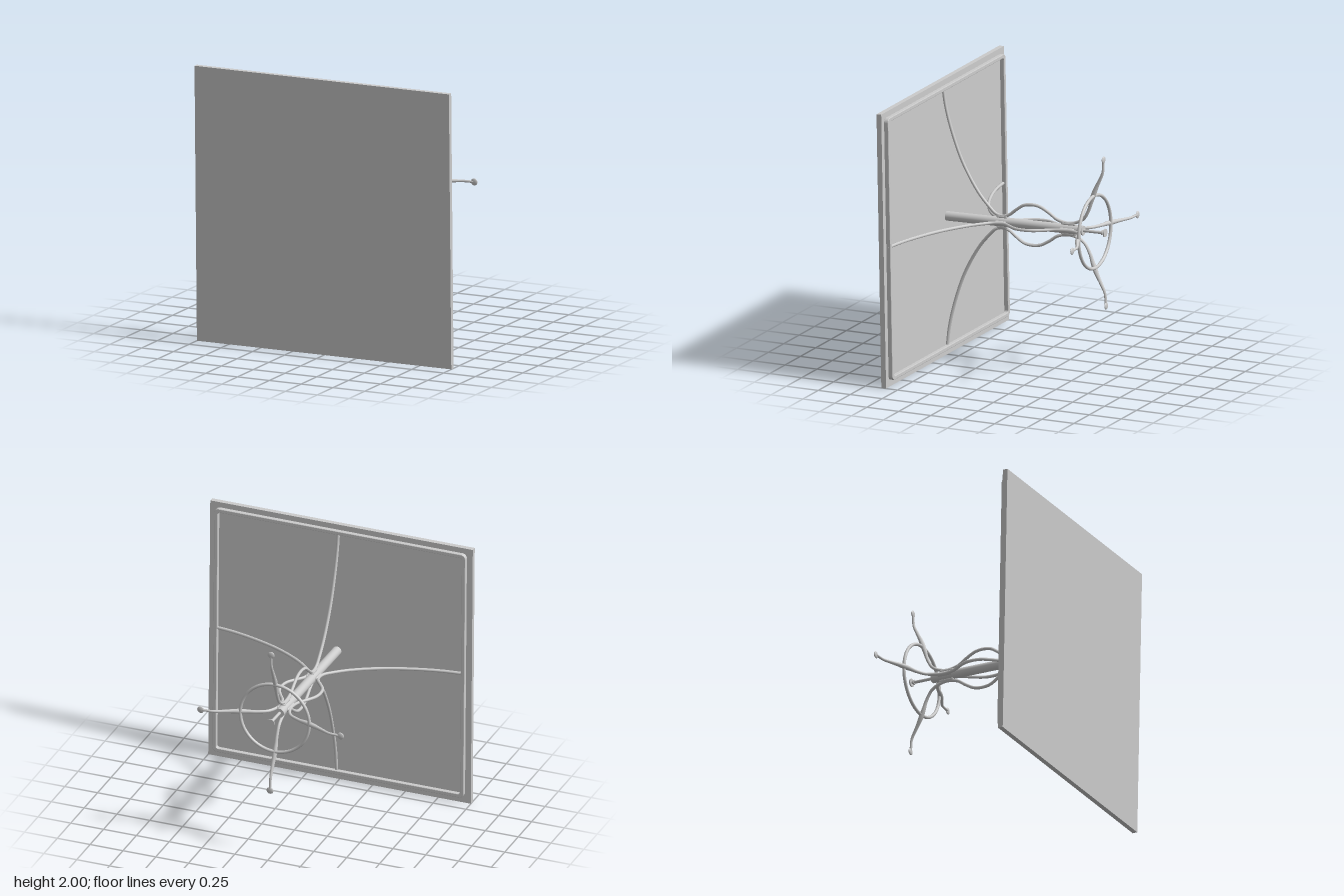
import * as THREE from 'three';

const mat = new THREE.MeshStandardMaterial({ color: 0xcccccc });

// Leg outline as [distance from the column axis, z]
const LEG = [
  [0.94, 0.598], [0.8, 0.578], [0.62, 0.532], [0.4, 0.45], [0.2, 0.335],
  [0.1, 0.25], [0.055, 0.2], [0.043, 0.15], [0.055, 0.1], [0.1, 0.04],
  [0.138, -0.02], [0.148, -0.09], [0.138, -0.15], [0.1, -0.22], [0.06, -0.28],
  [0.043, -0.35], [0.048, -0.41], [0.085, -0.485], [0.16, -0.53], [0.23, -0.553],
  [0.31, -0.583], [0.37, -0.612], [0.44, -0.643], [0.5, -0.648], [0.53, -0.65],
];

function add(parent, name, geometry, x = 0, y = 0, z = 0) {
  const mesh = new THREE.Mesh(geometry, mat);
  mesh.name = name;
  mesh.position.set(x, y, z);
  parent.add(mesh);
  return mesh;
}

// Cylinder lying along z between two depths
function rod(parent, name, r, z0, z1, x = 0) {
  const g = new THREE.CylinderGeometry(r, r, Math.abs(z1 - z0), 32).rotateX(Math.PI / 2);
  return add(parent, name, g, x, 0, (z0 + z1) / 2);
}

// Tube whose radius swells where the leg flares towards the foot
function legGeometry() {
  const path = new THREE.CatmullRomCurve3(LEG.map(([r, z]) => new THREE.Vector3(r, 0, z)));
  const segs = 160, sides = 10;
  const g = new THREE.TubeGeometry(path, segs, 0.0115, sides);
  const p = g.attributes.position, v = new THREE.Vector3();
  for (let i = 0; i <= segs; i++) {
    const c = path.getPointAt(i / segs);
    const flare = c.z < -0.5 ? Math.exp(-(((c.x - 0.27) / 0.07) ** 2)) : 0;
    const taper = c.z < -0.5 ? 0.2 * THREE.MathUtils.smoothstep(c.x, 0.36, 0.48) : 0;
    for (let j = 0; j <= sides; j++) {
      const k = i * (sides + 1) + j;
      v.fromBufferAttribute(p, k).sub(c).multiplyScalar(1 + 0.55 * flare - taper).add(c);
      p.setXYZ(k, v.x, v.y, v.z);
    }
  }
  g.computeVertexNormals();
  return g;
}

function roundedSquare(Path, h, r) {
  const s = new Path();
  s.moveTo(-h + r, -h);
  s.lineTo(h - r, -h).absarc(h - r, -h + r, r, -Math.PI / 2, 0, false);
  s.lineTo(h, h - r).absarc(h - r, h - r, r, 0, Math.PI / 2, false);
  s.lineTo(-h + r, h).absarc(-h + r, h - r, r, Math.PI / 2, Math.PI, false);
  s.lineTo(-h, -h + r).absarc(-h + r, -h + r, r, Math.PI, Math.PI * 1.5, false);
  return s;
}

export function createModel() {
  const model = new THREE.Group();
  model.name = 'tippedTable';

  // The whole table leans slightly
  const table = new THREE.Group();
  table.name = 'table';
  table.position.y = 1;
  table.rotation.x = 0.019;
  model.add(table);

  add(table, 'tableTop', new THREE.BoxGeometry(2, 2, 0.037), 0, 0, 0.627);

  // Rim under the top
  const rim = roundedSquare(THREE.Shape, 0.953, 0.03);
  rim.holes.push(roundedSquare(THREE.Path, 0.933, 0.02));
  const rimGeo = new THREE.ExtrudeGeometry(rim, {
    depth: 0.026, bevelEnabled: true, bevelSize: 0.004, bevelThickness: 0.004, bevelSegments: 2, curveSegments: 8,
  });
  add(table, 'rimFrame', rimGeo, 0, 0.004, 0.58);

  // Base, set slightly off the middle of the top
  const base = new THREE.Group();
  base.name = 'base';
  base.position.set(0.018, 0.018, 0);
  table.add(base);

  rod(base, 'column', 0.034, 0.585, -0.485);
  rod(base, 'spindle', 0.011, -0.48, -0.655);
  rod(base, 'spindleCollar', 0.018, -0.628, -0.636);
  rod(base, 'spindleCap', 0.03, -0.648, -0.657);
  add(base, 'braceRing', new THREE.TorusGeometry(0.263, 0.012, 12, 72), 0, 0, -0.572);

  // Four legs around the column
  const legGeo = legGeometry();
  const footGeo = new THREE.SphereGeometry(0.026, 20, 14).scale(1, 1, 0.32);
  for (let i = 0; i < 4; i++) {
    const leg = new THREE.Group();
    leg.name = 'leg' + (i + 1);
    leg.rotation.z = (i * Math.PI) / 2;
    base.add(leg);
    add(leg, 'legBar', legGeo);
    add(leg, 'foot', footGeo, 0.533, 0, -0.651);
    // Welds joining the leg to the column
    for (const [z, len] of [[0.15, 0.06], [-0.37, 0.09]]) {
      const weld = new THREE.CapsuleGeometry(0.015, len, 6, 12).rotateX(Math.PI / 2);
      add(leg, 'weld', weld, 0.036, 0, z);
    }
  }
  return model;
}
